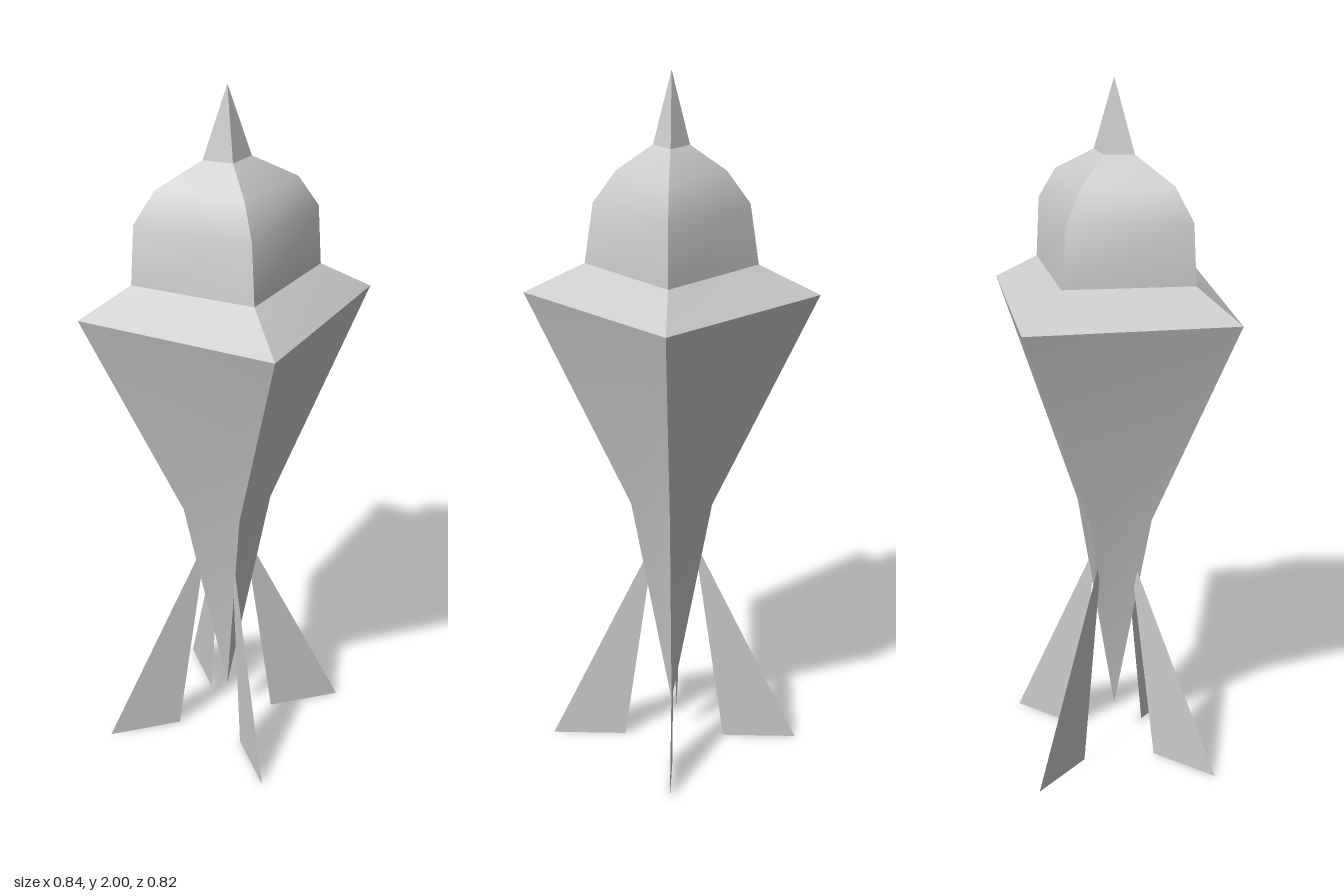
import * as THREE from 'three';
import { toCreasedNormals } from 'three/addons/utils/BufferGeometryUtils.js';

const material = new THREE.MeshStandardMaterial({ color: 0xcccccc, side: THREE.DoubleSide });

// Lofts diamond cross-sections, given bottom to top as [y, half width in x, half depth in z].
function diamondLoft(name, sections) {
  const corner = ([y, rx, rz], k) => [
    [rx, y, 0], [0, y, -rz], [-rx, y, 0], [0, y, rz],
  ][k % 4];
  const positions = [];
  for (let i = 0; i < sections.length - 1; i++) {
    const low = sections[i], high = sections[i + 1];
    for (let k = 0; k < 4; k++) {
      const a = corner(low, k), b = corner(low, k + 1);
      const c = corner(high, k + 1), d = corner(high, k);
      if (low[1] > 0) positions.push(...a, ...b, ...c);
      if (high[1] > 0) positions.push(...a, ...c, ...d);
    }
  }
  const geometry = new THREE.BufferGeometry();
  geometry.setAttribute('position', new THREE.Float32BufferAttribute(positions, 3));
  const mesh = new THREE.Mesh(toCreasedNormals(geometry, 0.6), material);
  mesh.name = name;
  return mesh;
}

export function createModel() {
  const model = new THREE.Group();
  model.name = 'rocket';

  // Hull tapering to a point below, then the sloped collar, dome and spire
  model.add(
    diamondLoft('hull', [[0.12, 0, 0], [0.755, 0.132, 0.117], [1.385, 0.42, 0.412]]),
    diamondLoft('collar', [[1.385, 0.42, 0.412], [1.47, 0.27, 0.24]]),
    diamondLoft('dome', [[1.47, 0.27, 0.24], [1.64, 0.26, 0.215], [1.73, 0.2, 0.15], [1.8, 0.068, 0.05]]),
    diamondLoft('spire', [[1.8, 0.068, 0.05], [2, 0, 0]]),
  );

  // Four thin swept fins around the tip
  const finShape = new THREE.Shape([
    new THREE.Vector2(0.148, 0),
    new THREE.Vector2(0.365, 0),
    new THREE.Vector2(0.058, 0.64),
  ]);
  const finGeometry = new THREE.ShapeGeometry(finShape);
  const fins = new THREE.Group();
  fins.name = 'fins';
  fins.position.set(-0.003, 0, -0.008);
  for (let k = 0; k < 4; k++) {
    const fin = new THREE.Mesh(finGeometry, material);
    fin.name = 'fin';
    fin.rotation.y = k * Math.PI / 2;
    fins.add(fin);
  }
  model.add(fins);

  return model;
}
